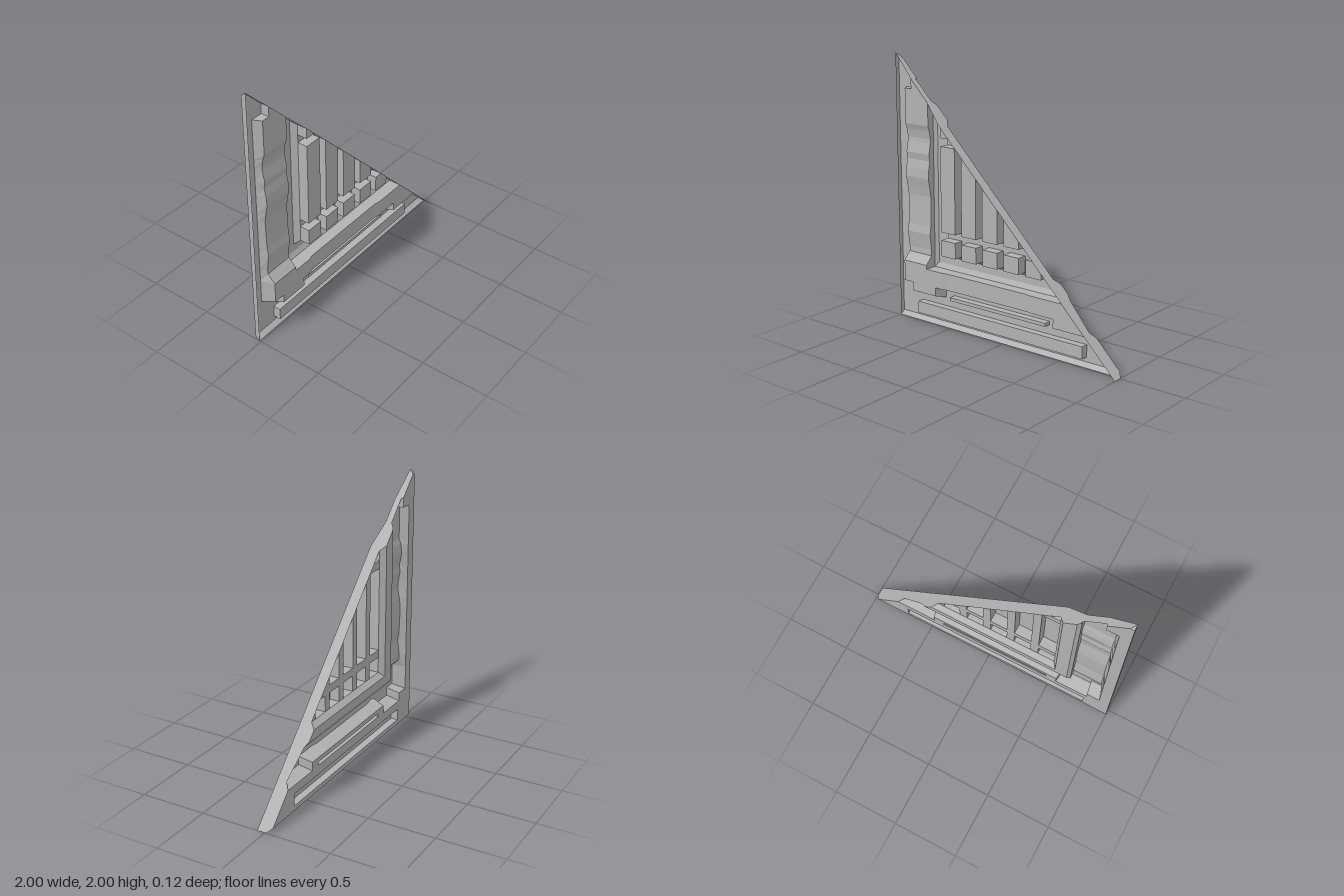
import * as THREE from 'three';

// Triangular recessed panel; every facet is trimmed by the diagonal x + y = 1.
const RIM = -0.045, TOP = -0.06, GAP = -0.02, DEEP = 0.055;

function clip(poly) {
  const out = [];
  poly.forEach((a, i) => {
    const b = poly[(i + 1) % poly.length];
    const da = 1 - a[0] - a[1], db = 1 - b[0] - b[1];
    if (da >= 0) out.push(a);
    if ((da > 0 && db < 0) || (da < 0 && db > 0)) {
      const t = da / (da - db);
      out.push(a.map((v, k) => v + (b[k] - v) * t));
    }
  });
  return out;
}

// Convex polygons to one flat-faced mesh
function facetMesh(name, polys, material) {
  const pos = [];
  for (const poly of polys) {
    const p = clip(poly);
    for (let i = 1; i < p.length - 1; i++) pos.push(...p[0], ...p[i], ...p[i + 1]);
  }
  const g = new THREE.BufferGeometry();
  g.setAttribute('position', new THREE.Float32BufferAttribute(pos, 3));
  g.computeVertexNormals();
  const m = new THREE.Mesh(g, material);
  m.name = name;
  return m;
}

const rect = (x0, x1, y0, y1, z) => [[x0, y0, z], [x1, y0, z], [x1, y1, z], [x0, y1, z]];

// Floor and four walls of a pressed-in pocket
function pocket(x0, x1, y0, y1, z0, z1) {
  const c = [[x0, y0], [x1, y0], [x1, y1], [x0, y1]];
  const walls = c.map((a, i) => {
    const b = c[(i + 1) % 4];
    return [[...a, z0], [...b, z0], [...b, z1], [...a, z1]];
  });
  return [rect(x0, x1, y0, y1, z1), ...walls];
}

function lerpTable(t, v) {
  for (let i = 1; i < t.length; i++) {
    if (v <= t[i][0]) {
      const [a, b] = [t[i - 1], t[i]];
      return THREE.MathUtils.lerp(a[1], b[1], THREE.MathUtils.clamp((v - a[0]) / (b[0] - a[0]), 0, 1));
    }
  }
  return t[t.length - 1][1];
}

export function createModel() {
  const group = new THREE.Group();
  const grey = new THREE.MeshStandardMaterial({ color: 0xb2b2b2, side: THREE.DoubleSide });
  grey.name = 'panel grey';
  const add = (name, polys) => group.add(facetMesh(name, polys, grey));

  // Outer border plate with two slots
  const rim = [[0.78, 0.22], [0.465, 0.22], [0.465, 0.285], [-0.565, 0.285], [-0.565, 0.22],
    [-0.82, 0.22], [-0.82, 0.285], [-0.92, 0.285], [-0.92, 1.755]];
  const slots = [[-0.8, 0.7, 0.065, 0.155], [-0.485, 0.385, 0.225, 0.25]];
  const outline = [[-1, 0.03], [0.97, 0.03], ...rim, [-0.83, 1.755], [-0.83, 1.83], [-0.97, 1.97], [-1, 1.97]];
  const shape = new THREE.Shape(outline.map(p => new THREE.Vector2(...p)));
  for (const [x0, x1, y0, y1] of slots) {
    shape.holes.push(new THREE.Path(rect(x0, x1, y0, y1, 0).map(p => new THREE.Vector2(p[0], p[1]))));
  }
  const border = new THREE.Mesh(new THREE.ShapeGeometry(shape), grey);
  border.position.z = RIM;
  border.name = 'borderPlate';
  group.add(border);
  add('borderSlots', slots.flatMap(s => pocket(...s, RIM, 0.01)));

  // Outer edges: bottom bevel, left wall, tip bevel
  add('outerEdges', [
    [[-1, 0, -0.01], [1, 0, -0.01], [0.97, 0.03, RIM], [-1, 0.03, RIM]],
    [[-1, 0, -0.01], [-1, 0.03, RIM], [-1, 1.97, RIM], [-1, 2, -0.01]],
    [[-1, 1.97, RIM], [-0.97, 1.97, RIM], [-1, 2, -0.01]],
  ]);

  // Floor heights of the bottom channel along x and of the left channel along y
  const across = [[-0.9, DEEP], [-0.52, DEEP], [-0.48, 0.045], [0.25, 0.045], [0.3, DEEP], [1, DEEP]];
  const wave = [[0.3, DEEP], [0.47, DEEP], [0.53, -0.002], [0.57, -0.004], [0.69, 0.012], [0.75, 0.002],
    [0.86, -0.002], [0.97, -0.004], [1.04, 0.006], [1.11, 0.02], [1.18, 0.014], [1.24, 0.002],
    [1.29, 0.01], [1.37, -0.006], [1.4, -0.008], [1.46, 0.002], [1.5, 0.016], [1.755, 0.016]];
  const fx = x => lerpTable(across, x);

  // Sloped edge of the bottom channel
  const low = [[0.75, 0.25], [0.485, 0.25], [0.485, 0.315], [-0.585, 0.315], [-0.585, 0.25],
    [-0.805, 0.25], [-0.805, 0.315], [-0.89, 0.315]];
  const edges = [];
  for (let i = 0; i < low.length - 1; i++) {
    const [a, b, c, d] = [rim[i], rim[i + 1], low[i + 1], low[i]];
    const xs = [0, 1];
    for (const [x] of across) {
      const t = (x - d[0]) / (c[0] - d[0]);
      if (t > 0 && t < 1) xs.push(t);
    }
    xs.sort((p, q) => p - q);
    const at = (p, q, t, z) => {
      const x = p[0] + (q[0] - p[0]) * t;
      return [x, p[1] + (q[1] - p[1]) * t, z ?? fx(x)];
    };
    for (let k = 1; k < xs.length; k++) {
      edges.push([at(a, b, xs[k - 1], RIM), at(a, b, xs[k], RIM), at(d, c, xs[k]), at(d, c, xs[k - 1])]);
    }
  }
  add('bottomChannelEdge', edges);

  // Bottom channel floor and the ledge up to the frame
  const cols = [[-0.89, -0.805, 0.315], [-0.805, -0.67, 0.25], [-0.67, -0.585, 0.25], [-0.585, -0.52, 0.315],
    [-0.52, -0.48, 0.315], [-0.48, 0.25, 0.315], [0.25, 0.3, 0.315], [0.3, 0.485, 0.315], [0.485, 0.8, 0.25]];
  const floor = [rect(-0.89, -0.67, 0.44, 0.47, DEEP)];
  for (const [x0, x1, y] of cols) {
    floor.push([[x0, y, fx(x0)], [x1, y, fx(x1)], [x1, 0.44, fx(x1)], [x0, 0.44, fx(x0)]]);
    if (x0 >= -0.67) floor.push([[x0, 0.44, fx(x0)], [x1, 0.44, fx(x1)], [x1, 0.44, -0.04], [x0, 0.44, -0.04]]);
  }
  add('bottomChannelFloor', floor);

  // Left channel: rippled floor with its side walls
  const ripple = [], sides = [];
  for (let i = 1; i < wave.length; i++) {
    const [[y0, z0], [y1, z1]] = [wave[i - 1], wave[i]];
    if (i > 1) ripple.push([[-0.89, y0, z0], [-0.67, y0, z0], [-0.67, y1, z1], [-0.89, y1, z1]]);
    const r0 = i === 1 ? 0.285 : y0, l0 = i === 1 ? 0.315 : y0;
    sides.push([[-0.92, r0, RIM], [-0.89, l0, z0], [-0.89, y1, z1], [-0.92, y1, RIM]]);
    const w0 = Math.max(y0, 0.44);
    if (y1 > 0.44) sides.push([[-0.67, w0, z0], [-0.67, w0, -0.04], [-0.67, y1, -0.04], [-0.67, y1, z1]]);
  }
  const end = 0.016;
  ripple.push(rect(-0.83, -0.67, 1.755, 1.9, end));
  sides.push([[-0.92, 1.755, RIM], [-0.83, 1.755, RIM], [-0.83, 1.755, end], [-0.89, 1.755, end]]);
  sides.push([[-0.83, 1.755, RIM], [-0.83, 1.9, RIM], [-0.83, 1.9, end], [-0.83, 1.755, end]]);
  add('rippledFloor', ripple);
  add('leftChannelWalls', sides);

  // Raised L-shaped frame: outer bevel, flat, inner bevel
  const steps = [[-0.67, 0.44, -0.04], [-0.645, 0.475, TOP], [-0.55, 0.535, TOP], [-0.52, 0.57, GAP]];
  const frame = [];
  for (let i = 1; i < steps.length; i++) {
    const [a, b] = [steps[i - 1], steps[i]];
    frame.push([a, [a[0], 2, a[2]], [b[0], 2, b[2]], b]);
    frame.push([a, [1, a[1], a[2]], [1, b[1], b[2]], b]);
  }
  add('raisedFrame', frame);

  // Grid of pressed bars with narrow ribs between them
  const rows = [[0.57, 0.69], [0.75, 1.38], [1.44, 1.6]];
  const bars = [], ribs = [];
  for (let i = 0; i < 6; i++) {
    const x0 = -0.52 + 0.192 * i, x1 = x0 + 0.132;
    ribs.push(rect(x1, x0 + 0.192, 0.57, 1.6, GAP));
    rows.forEach(([y0, y1], k) => {
      bars.push(...pocket(x0, x1, y0, y1, GAP, DEEP));
      if (k) ribs.push(rect(x0, x1, rows[k - 1][1], y0, GAP));
    });
  }
  add('gridBars', bars);
  add('gridRibs', ribs);

  // Diagonal side wall closing the ends of the channels
  const profile = [[-1, -0.01], [-0.97, RIM], [-0.83, RIM], [-0.825, -0.03], [-0.68, -0.03], [-0.645, TOP],
    [-0.55, TOP], [-0.515, GAP], [0.43, GAP], [0.465, TOP], [0.525, TOP], [0.56, -0.04], [0.74, -0.012],
    [0.78, RIM], [0.97, RIM], [1, -0.01], [1, 0.06], [-0.53, 0.06], [-0.68, 0.018], [-0.82, 0.018]];
  const wall = new THREE.ShapeGeometry(new THREE.Shape(profile.map(p => new THREE.Vector2(...p))));
  const p = wall.attributes.position;
  for (let i = 0; i < p.count; i++) p.setXYZ(i, p.getX(i), 1 - p.getX(i), p.getY(i));
  // Face the wall outward
  const idx = wall.index.array;
  for (let i = 0; i < idx.length; i += 3) [idx[i], idx[i + 1]] = [idx[i + 1], idx[i]];
  wall.computeVertexNormals();
  const a = new THREE.Vector3(wall.attributes.normal.getX(0), wall.attributes.normal.getY(0), 0);
  if (a.x + a.y < 0) {
    for (let i = 0; i < idx.length; i += 3) [idx[i], idx[i + 1]] = [idx[i + 1], idx[i]];
    wall.computeVertexNormals();
  }
  const diagonal = new THREE.Mesh(wall, grey);
  diagonal.name = 'diagonalWall';
  group.add(diagonal);
  return group;
}
